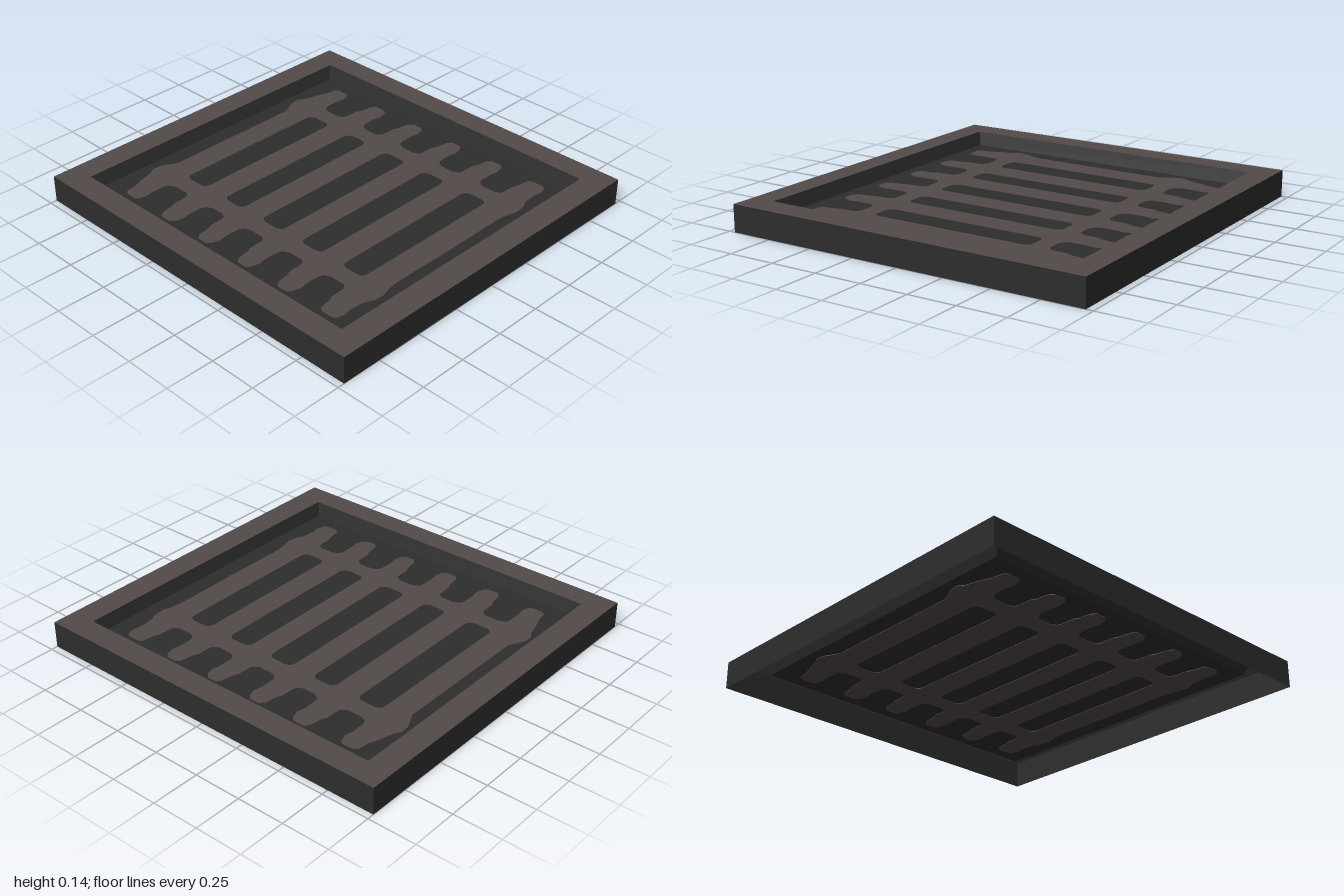
import * as THREE from 'three';

const TOP = 0.14, FLOOR = 0.07;

// Rectangle cross-section at height y, counter-clockwise from above
const rect = (x, zBack, zFront, y) => [
  [-x, y, zBack], [-x, y, zFront], [x, y, zFront], [x, y, zBack],
];

// Four flat faces joining two rectangles
function band(a, b) {
  const positions = [];
  for (let i = 0; i < 4; i++) {
    const j = (i + 1) % 4;
    positions.push(...a[i], ...a[j], ...b[j], ...a[i], ...b[j], ...b[i]);
  }
  const geometry = new THREE.BufferGeometry();
  geometry.setAttribute('position', new THREE.Float32BufferAttribute(positions, 3));
  geometry.computeVertexNormals();
  return geometry;
}

// Back and front edge of every slat
const slats = [
  [-0.75, -0.615], [-0.475, -0.335], [-0.205, -0.07],
  [0.07, 0.2], [0.335, 0.47], [0.605, 0.745],
];

// Rounded slot between two neighbouring slats
function slot(z0, z1) {
  const x = 0.44, r = 0.04, path = new THREE.Path();
  path.moveTo(-x + r, -z0);
  path.lineTo(x - r, -z0);
  path.quadraticCurveTo(x, -z0, x, -z0 - r);
  path.lineTo(x, -z1 + r);
  path.quadraticCurveTo(x, -z1, x - r, -z1);
  path.lineTo(-x + r, -z1);
  path.quadraticCurveTo(-x, -z1, -x, -z1 + r);
  path.lineTo(-x, -z0 - r);
  path.quadraticCurveTo(-x, -z0, -x + r, -z0);
  return path;
}

// Slats and two rails as one outline, half of it mirrored
function gratingShape() {
  const half = [[0, -0.75], [0.38, -0.75], [0.43, -0.775], [0.46, -0.79], [0.51, -0.795], [0.54, -0.775]];
  slats.forEach(([a, b], i) => {
    const tip = i === 0 || i === 5 ? 0.745 : 0.755;
    if (i > 0) half.push([0.535, a - 0.03], [0.55, a - 0.005], [0.565, a]);
    half.push([0.64, a + 0.003], [0.665, a + 0.015], [0.73, a + 0.024], [tip, a + 0.045]);
    half.push([tip, b - 0.035], [0.735, b - 0.015], [0.69, b - 0.003], [0.65, b - 0.012]);
    if (i < 5) half.push([0.57, b - 0.01], [0.55, b], [0.535, b + 0.03]);
  });
  half.push([0.57, 0.74], [0.53, 0.76], [0.47, 0.765], [0.42, 0.75], [0.36, 0.742], [0, 0.745]);
  const points = half.map(([x, z]) => new THREE.Vector2(x, -z));
  const mirrored = points.slice(1, -1).reverse().map((p) => new THREE.Vector2(-p.x, p.y));
  const shape = new THREE.Shape([...points, ...mirrored]);
  for (let i = 0; i < 5; i++) shape.holes.push(slot(slats[i][1], slats[i + 1][0]));
  return shape;
}

export function createModel() {
  const dark = new THREE.MeshStandardMaterial({ color: 0x2d2d2d, side: THREE.DoubleSide });
  dark.name = 'charcoal';
  const brown = new THREE.MeshStandardMaterial({ color: 0x534a49, side: THREE.DoubleSide });
  brown.name = 'brownGrey';

  const model = new THREE.Group();
  model.name = 'floorGrate';
  const add = (name, geometry, material) => {
    const mesh = new THREE.Mesh(geometry, material);
    mesh.name = name;
    model.add(mesh);
    return mesh;
  };

  const rim = rect(0.965, -1, 1, TOP);
  const opening = rect(0.838, -0.868, 0.862, TOP);
  const floor = rect(0.815, -0.845, 0.842, FLOOR);

  // Hollow frame, open underneath
  add('outerWalls', band(rect(0.965, -1, 1, 0), rim), dark);
  add('frameTop', band(rim, opening), brown);
  add('innerWalls', band(opening, floor), dark);

  // Sunken panel
  const panel = new THREE.PlaneGeometry(1.63, 1.687).rotateX(-Math.PI / 2);
  add('panel', panel, dark).position.set(0, FLOOR, -0.0015);

  // Painted grating, seen on both sides of the panel
  const grating = new THREE.ExtrudeGeometry(gratingShape(), { depth: 0.006, bevelEnabled: false, curveSegments: 5 });
  grating.rotateX(-Math.PI / 2);
  add('grating', grating, brown).position.y = FLOOR - 0.003;

  return model;
}
